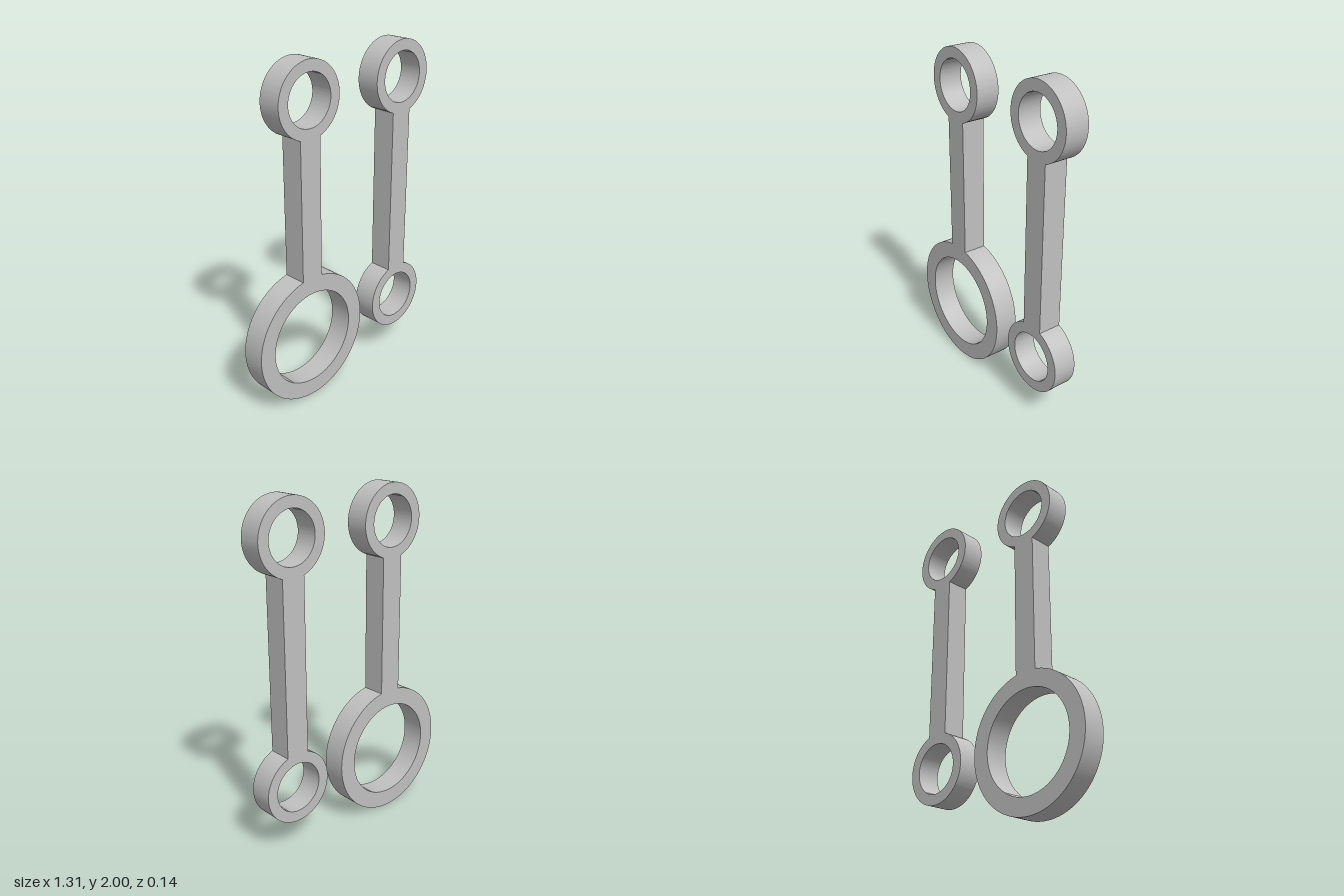
import * as THREE from 'three';
import { toCreasedNormals } from 'three/addons/utils/BufferGeometryUtils.js';

const DEPTH = 0.14;
const HALF_ROD = 0.07;
const UPPER_Y = 1.789;
const LOWER_Y = 0.389;
const SMALL_RING = { outer: 0.211, inner: 0.147 };
const LARGE_RING = { outer: 0.389, inner: 0.288 };

// A flat link: two rings joined by a straight rod, in one outline
function linkGeometry(lower, upper) {
  const lowerGap = Math.asin(HALF_ROD / lower.outer);
  const upperGap = Math.asin(HALF_ROD / upper.outer);
  const up = Math.PI / 2;

  const outline = new THREE.Shape();
  outline.absarc(0, LOWER_Y, lower.outer, up + lowerGap, up - lowerGap + 2 * Math.PI, false);
  outline.absarc(0, UPPER_Y, upper.outer, -up + upperGap, 3 * up - upperGap, false);
  outline.closePath();

  for (const [y, radius] of [[LOWER_Y, lower.inner], [UPPER_Y, upper.inner]]) {
    outline.holes.push(new THREE.Path().absarc(0, y, radius, 0, 2 * Math.PI, true));
  }

  const geometry = new THREE.ExtrudeGeometry(outline, {
    depth: DEPTH, bevelEnabled: false, curveSegments: 72,
  });
  geometry.translate(0, 0, -DEPTH / 2);
  return toCreasedNormals(geometry, 0.4);
}

export function createModel() {
  const model = new THREE.Group();
  model.name = 'linkPair';
  const steel = new THREE.MeshStandardMaterial({ color: 0xc0c0c0 });
  steel.name = 'steelGrey';

  const addLink = (name, x, lower, upper) => {
    const link = new THREE.Mesh(linkGeometry(lower, upper), steel);
    link.name = name;
    link.position.x = x;
    model.add(link);
  };

  // Connecting rod with a large lower eye, and a rod with equal eyes
  addLink('largeEyeRod', -0.268, LARGE_RING, SMALL_RING);
  addLink('equalEyeRod', 0.442, SMALL_RING, SMALL_RING);
  return model;
}
